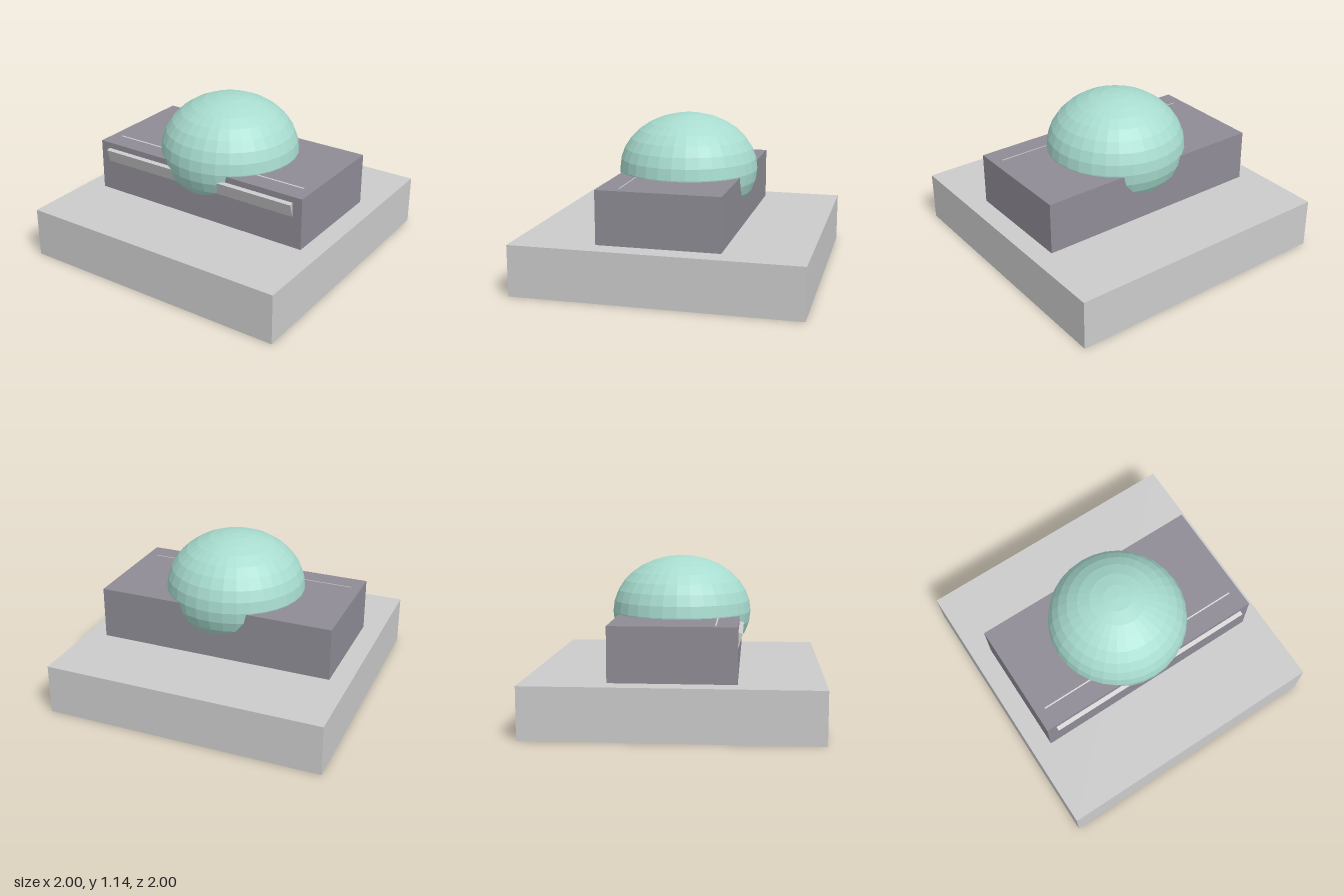
import * as THREE from 'three';

export function createModel() {
  const model = new THREE.Group();

  const add = (name, geometry, color, x, y, z) => {
    const material = new THREE.MeshStandardMaterial({ color, flatShading: true });
    const mesh = new THREE.Mesh(geometry, material);
    mesh.name = name;
    mesh.position.set(x, y, z);
    model.add(mesh);
    return mesh;
  };

  // square slab at the bottom
  add('base', new THREE.BoxGeometry(2, 0.36, 2), 0xcccccc, 0, 0.18, 0);

  // rectangular block standing on the slab
  add('block', new THREE.BoxGeometry(1.714, 0.375, 0.855), 0x8f8c96, 0, 0.5475, -0.002);

  // tilted bar, mostly sunk into the block, showing at its front and top
  const bar = add('tiltedBar', new THREE.BoxGeometry(1.572, 0.17, 0.188), 0xcccccc, 0, 0.629, 0.34);
  bar.rotation.x = THREE.MathUtils.degToRad(17);

  // flattened faceted ball resting inside the block
  const dome = add('dome', new THREE.SphereGeometry(0.5, 32, 16), 0xa8dccf, 0, 0.742, 0);
  dome.scale.y = 0.8;

  return model;
}
